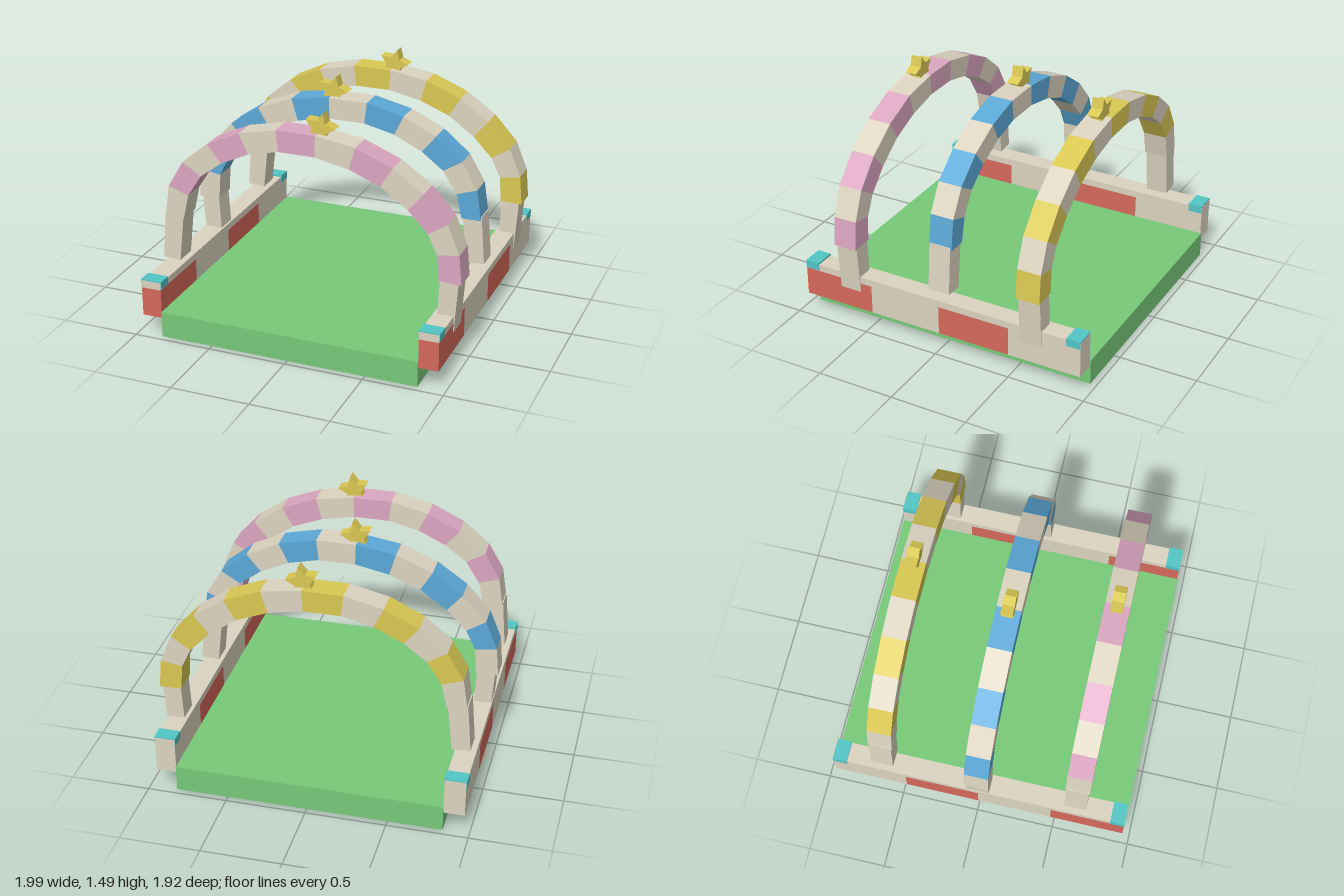
import * as THREE from 'three';

const mat = (name, color) => {
  const m = new THREE.MeshStandardMaterial({ color });
  m.name = name;
  return m;
};

// Arch outline as [outerX, outerY, innerX, innerY], from the short foot to the long foot
const ARCH = [
  [-0.915, 0.70, -0.79, 0.70],
  [-0.885, 0.90, -0.755, 0.855],
  [-0.785, 1.07, -0.665, 0.995],
  [-0.615, 1.21, -0.525, 1.10],
  [-0.405, 1.31, -0.345, 1.185],
  [-0.165, 1.365, -0.15, 1.23],
  [0.085, 1.365, 0.08, 1.23],
  [0.335, 1.327, 0.295, 1.187],
  [0.565, 1.235, 0.49, 1.11],
  [0.755, 1.103, 0.66, 0.99],
  [0.905, 0.938, 0.785, 0.86],
  [0.98, 0.756, 0.845, 0.735],
  [0.997, 0.568, 0.857, 0.572],
];
const SHORT_LEG = [[-0.943, 0.412, -0.83, 0.405], [-0.918, 0.72, -0.795, 0.72]];
const LONG_LEG = [[0.98, 0.60, 0.865, 0.60], [0.955, 0.25, 0.845, 0.25]];

export function createModel() {
  const cream = mat('cream', 0xdcd4c0);
  const green = mat('green', 0x77ca79);
  const red = mat('red', 0xd6685b);
  const teal = mat('teal', 0x52c6c6);
  const pink = mat('pink', 0xdba6c1);
  const blue = mat('blue', 0x5ca9d8);
  const yellow = mat('yellow', 0xdac853);

  const model = new THREE.Group();
  model.name = 'archwayCourse';

  // Box given by its limits on each axis
  const box = (name, material, [x0, x1], [y0, y1], [z0, z1], parent = model) => {
    const mesh = new THREE.Mesh(new THREE.BoxGeometry(x1 - x0, y1 - y0, z1 - z0), material);
    mesh.position.set((x0 + x1) / 2, (y0 + y1) / 2, (z0 + z1) / 2);
    mesh.name = name;
    parent.add(mesh);
  };

  // Flat outline extruded along z, centred on z = 0
  const slab = (name, material, points, depth, parent) => {
    const shape = new THREE.Shape(points.map(([x, y]) => new THREE.Vector2(x, y)));
    const geometry = new THREE.ExtrudeGeometry(shape, { depth, bevelEnabled: false });
    geometry.translate(0, 0, -depth / 2);
    const mesh = new THREE.Mesh(geometry, material);
    mesh.name = name;
    parent.add(mesh);
    return mesh;
  };

  // Floor
  box('floor', green, [-0.838, 0.828], [0, 0.165], [-0.96, 0.96]);

  // Side rails: striped lower blocks, a cream top strip and corner caps
  for (const [name, x0, x1] of [['rightRail', -0.967, -0.838], ['leftRail', 0.828, 0.953]]) {
    const rail = new THREE.Group();
    rail.name = name;
    model.add(rail);
    box('railTop', cream, [x0, x1], [0.31, 0.355], [-0.953, 0.953], rail);
    for (let i = 0; i < 4; i++) {
      const z = 0.953 - i * 0.4765;
      box('railBlock', i % 2 ? cream : red, [x0, x1], [0.123, 0.31], [z - 0.4765, z], rail);
    }
    for (const z of [-0.906, 0.906]) {
      box('cornerCap', teal, [x0 - 0.004, x1 + 0.004], [0.315, 0.366], [z - 0.046, z + 0.046], rail);
      // Cream end plate below the cap's rim
      const s = Math.sign(z), e = 0.9535 * s;
      box('capEnd', cream, [x0, x1], [0.311, 0.36], [Math.min(e, e + 0.001 * s), Math.max(e, e + 0.001 * s)], rail);
    }
  }

  // Striped arch; side = -1 mirrors it, and oddFirst swaps the stripes
  const arch = (name, stripe, z, side, starX, firstStripe) => {
    const group = new THREE.Group();
    group.name = name;
    group.position.z = z;
    model.add(group);
    const segment = (part, material, a, b, depth) => slab(part, material,
      [[a[0] * side, a[1]], [b[0] * side, b[1]], [b[2] * side, b[3]], [a[2] * side, a[3]]], depth, group);
    segment('shortLeg', cream, SHORT_LEG[0], SHORT_LEG[1], 0.142);
    segment('longLeg', cream, LONG_LEG[0], LONG_LEG[1], 0.142);
    for (let i = 0; i < ARCH.length - 1; i++) {
      segment('archSegment', i % 2 === firstStripe ? stripe : cream, ARCH[i], ARCH[i + 1], 0.154);
    }
    // Star on the crown
    const star = [];
    for (let i = 0; i < 10; i++) {
      const angle = (5 + i * 36) * Math.PI / 180;
      const r = i % 2 ? 0.05 : 0.1;
      star.push([starX + r * Math.cos(angle), 1.394 + r * Math.sin(angle)]);
    }
    slab('star', yellow, star, 0.074, group);
  };

  arch('frontArch', pink, 0.625, 1, 0.095, 1);
  arch('middleArch', blue, 0, -1, -0.075, 0);
  arch('backArch', yellow, -0.628, 1, 0.095, 1);

  return model;
}
